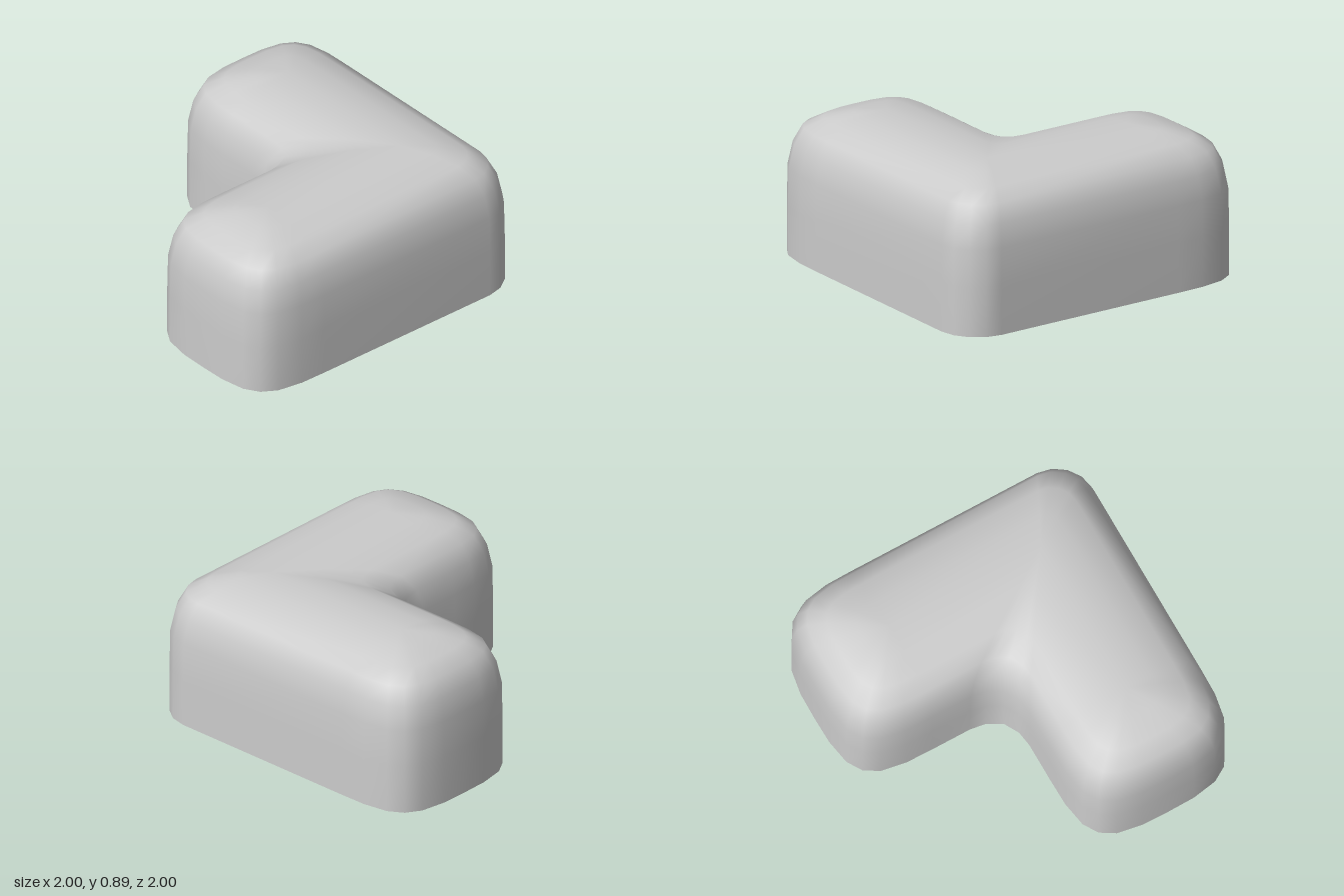
import * as THREE from 'three';
import { mergeVertices } from 'three/addons/utils/BufferGeometryUtils.js';

// Half of the L-shaped footprint: [x, z, spine x, spine z].
// Every point slides towards its spine point as the surface rises.
function halfOutline() {
  const corner = [0.5, -0.5], end = [-0.5, -0.5];
  const outer = [[0.925, -0.925], [0.845, -0.98], [0.75, -1]];
  const cap = [[0.33, 0.003], [0.175, 0.03], [0.085, 0.085], [0.03, 0.175], [0.003, 0.33]];
  const inner = [[-0.25, 0], [-0.155, 0.015], [-0.065, 0.065]];
  return [
    ...outer.map(p => [...p, ...corner]),
    [-0.5, -1, ...end],
    ...cap.map(([u, v]) => [-1 + u, -1 + v, ...end]),
    [-1, -0.5, ...end],
    ...cap.slice().reverse().map(([u, v]) => [-1 + u, -v, ...end]),
    [-0.5, 0, ...end],
    ...inner.map(p => [...p, ...corner]),
  ];
}

export function createModel() {
  // Mirror the half across the diagonal of the L
  const half = halfOutline();
  const mirrored = half.slice(1, -1).reverse().map(([x, z, sx, sz]) => [-z, -x, -sz, -sx]);
  const outline = [...half, ...mirrored];

  // Wall and rounded top: [inset, height]
  const profile = [
    [0, 0], [0, 0.3], [0.004, 0.53], [0.03, 0.67], [0.08, 0.775],
    [0.18, 0.835], [0.33, 0.876], [0.5, 0.89],
  ];
  const rings = profile.map(([inset, y]) => outline.map(([x, z, sx, sz]) => {
    const s = 1 - inset / 0.5;
    return new THREE.Vector3(sx + (x - sx) * s, y, sz + (z - sz) * s);
  }));

  // Join the rings, leaving out triangles that collapse on the spine
  const positions = [];
  const tri = (a, b, c) => {
    if (new THREE.Triangle(a, b, c).getArea() < 1e-7) return;
    for (const p of [a, b, c]) positions.push(p.x, p.y, p.z);
  };
  for (let r = 0; r < rings.length - 1; r++) {
    outline.forEach((_, i) => {
      const j = (i + 1) % outline.length;
      const a = rings[r][i], b = rings[r][j], c = rings[r + 1][j], d = rings[r + 1][i];
      tri(a, b, c);
      tri(a, c, d);
    });
  }
  let geometry = new THREE.BufferGeometry();
  geometry.setAttribute('position', new THREE.Float32BufferAttribute(positions, 3));
  geometry = mergeVertices(geometry, 1e-4);
  geometry.computeVertexNormals();

  // Open-bottomed shell
  const shell = new THREE.Mesh(geometry, new THREE.MeshStandardMaterial({
    color: 0xcccccc, side: THREE.DoubleSide,
  }));
  shell.name = 'roundedCornerShell';

  const model = new THREE.Group();
  model.name = 'cornerBlock';
  model.add(shell);
  return model;
}
